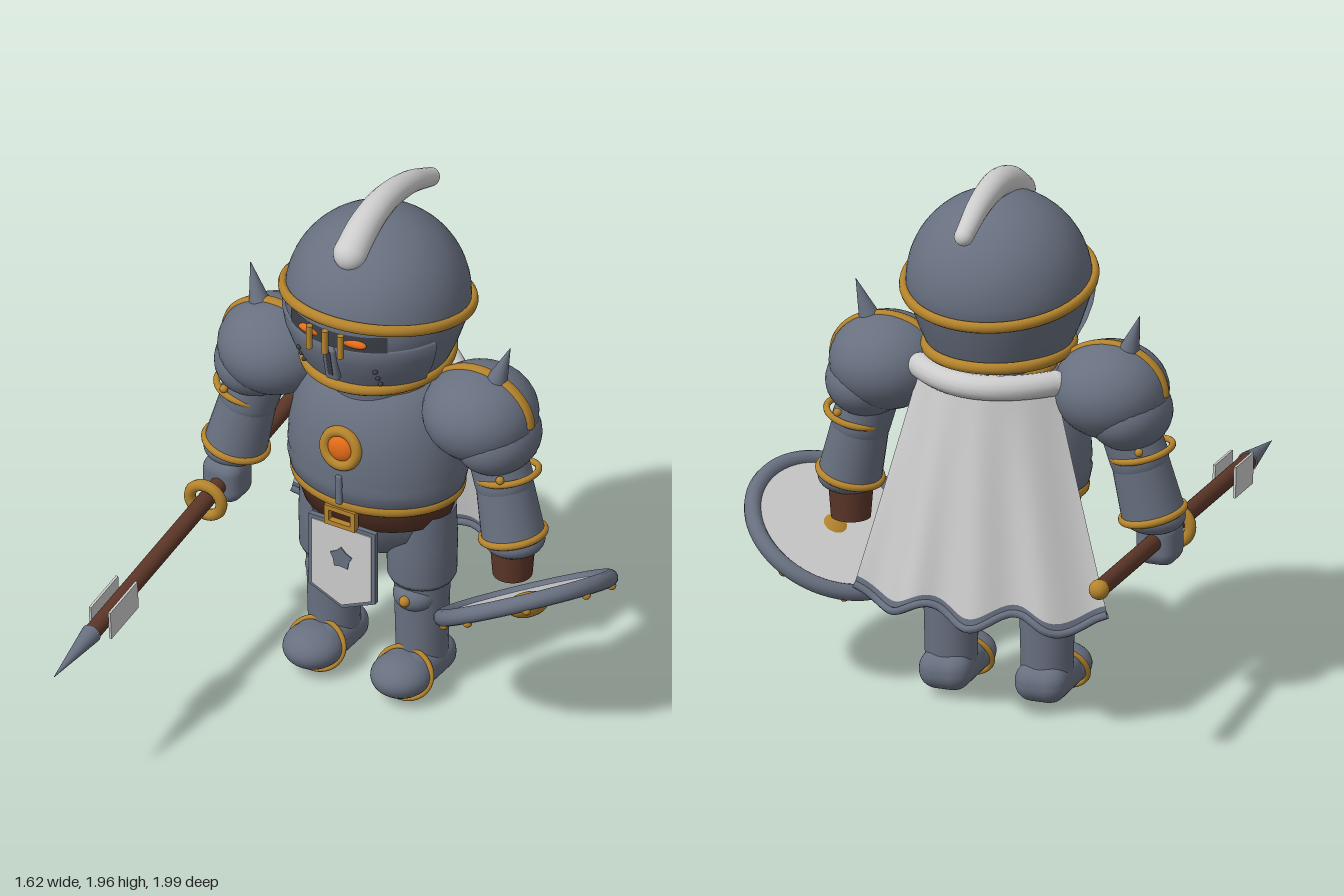
import * as THREE from 'three';
import { RoundedBoxGeometry } from 'three/addons/geometries/RoundedBoxGeometry.js';

const V = (x, y, z) => new THREE.Vector3(x, y, z);
const mat = (name, color, side = THREE.FrontSide) => {
  const m = new THREE.MeshStandardMaterial({ color, side });
  m.name = name;
  return m;
};

export function createModel() {
  const steel = mat('steel', 0x687080, THREE.DoubleSide);
  const gold = mat('gold', 0xb5842c);
  const cloth = mat('pale cloth', 0xcccccc, THREE.DoubleSide);
  const leather = mat('brown leather', 0x5c3628);
  const glow = mat('orange glow', 0xe46c18);
  const dark = mat('dark slot', 0x3c4048, THREE.DoubleSide);

  const root = new THREE.Group();
  root.name = 'knight';
  const body = new THREE.Group();
  body.name = 'body';
  body.position.set(-0.135, 0, -0.355);
  root.add(body);

  // helpers
  const add = (parent, name, geo, m, p = [0, 0, 0], r = [0, 0, 0], s = [1, 1, 1]) => {
    const mesh = new THREE.Mesh(geo, m);
    mesh.name = name;
    mesh.position.set(...p);
    mesh.rotation.set(...r);
    mesh.scale.set(...s);
    parent.add(mesh);
    return mesh;
  };
  const ball = (parent, name, m, p, s) =>
    add(parent, name, new THREE.SphereGeometry(1, 32, 20), m, p, [0, 0, 0], Array.isArray(s) ? s : [s, s, s]);
  const rod = (parent, name, m, a, b, ra, rb) => {
    const d = b.clone().sub(a);
    const mesh = add(parent, name, new THREE.CylinderGeometry(rb, ra, d.length(), 28), m, a.clone().lerp(b, 0.5).toArray());
    mesh.quaternion.setFromUnitVectors(V(0, 1, 0), d.normalize());
    return mesh;
  };
  const ring = (parent, name, m, p, R, tube, axis) => {
    const mesh = add(parent, name, new THREE.TorusGeometry(R, tube, 10, 48), m, p);
    mesh.quaternion.setFromUnitVectors(V(0, 0, 1), axis.clone().normalize());
    return mesh;
  };
  const hoop = (name, m, y, R, tube, depth, tilt = 0) =>
    add(body, name, new THREE.TorusGeometry(R, tube, 10, 64), m, [0, y, 0], [Math.PI / 2 + tilt, 0, 0], [1, depth, 1.3]);
  const lathe = (name, m, pts, depth = 1, half = Math.PI) =>
    add(body, name, new THREE.LatheGeometry(pts.map(p => new THREE.Vector2(...p)), 56, -half, half * 2), m, [0, 0, 0], [0, 0, 0], [1, 1, depth]);
  const starShape = (R, r) => new THREE.Shape(Array.from({ length: 10 }, (_, i) => {
    const a = Math.PI / 2 + i * Math.PI / 5, q = i % 2 ? r : R;
    return new THREE.Vector2(Math.cos(a) * q, Math.sin(a) * q);
  }));
  const slab = (shape, depth) => new THREE.ExtrudeGeometry(shape, { depth, bevelEnabled: false });

  // helmet: shell, eye slot, visor and trims
  const dome = [[0.25, 1.32], [0.285, 1.4], [0.312, 1.48]];
  for (let i = 0; i <= 16; i++) {
    const a = -0.1 + (Math.PI / 2 + 0.1) * i / 16;
    dome.push([Math.max(0, Math.cos(a) * 0.326), 1.555 + Math.sin(a) * 0.326]);
  }
  lathe('helmet', steel, dome);
  lathe('eyeSlot', dark, [[0.326, 1.512], [0.3285, 1.555], [0.328, 1.578]], 1, 0.64);
  lathe('visor', steel, [[0.27, 1.335], [0.305, 1.4], [0.326, 1.46], [0.335, 1.512], [0.32, 1.514]], 1, 1.2);
  add(body, 'noseRidge', new RoundedBoxGeometry(0.055, 0.15, 0.03, 3, 0.012), steel, [0, 1.44, 0.315], [0.2, 0, 0]);
  add(body, 'noseGroove', new RoundedBoxGeometry(0.02, 0.11, 0.008, 2, 0.003), dark, [0, 1.445, 0.33], [0.2, 0, 0]);
  hoop('browBand', gold, 1.558, 0.333, 0.016, 1.02, -0.19);
  hoop('chinBand', gold, 1.322, 0.256, 0.016, 1.08);
  for (const s of [-1, 1]) {
    ball(body, 'eye', glow, [s * 0.085, 1.545, 0.309], [0.052, 0.018, 0.018]);
    for (const [i, y] of [1.43, 1.395, 1.36].entries())
      ball(body, 'breathHole', dark, [s * 0.155, y, 0.278 - i * 0.018], 0.009);
  }
  for (const x of [-0.063, 0, 0.063])
    rod(body, 'visorBar', gold, V(x, 1.505, 0.36), V(x, 1.597, 0.36), 0.012, 0.012);

  // plume: tapered tube with rounded ends
  const plumePath = new THREE.CatmullRomCurve3([V(0, 1.82, 0.185), V(0, 1.88, 0.1), V(0, 1.915, -0.03), V(0, 1.895, -0.2), V(0, 1.835, -0.35)]);
  const plumeR = t => 0.062 - 0.028 * t;
  const plume = new THREE.TubeGeometry(plumePath, 40, 1, 20);
  const pp = plume.attributes.position, v = V(0, 0, 0);
  for (let i = 0; i < pp.count; i++) {
    const t = Math.floor(i / 21) / 40, c = plumePath.getPointAt(t);
    v.fromBufferAttribute(pp, i).sub(c).multiplyScalar(plumeR(t)).add(c);
    pp.setXYZ(i, v.x, v.y, v.z);
  }
  plume.computeVertexNormals();
  add(body, 'plume', plume, cloth);
  for (const t of [0, 1]) ball(body, 'plumeEnd', cloth, plumePath.getPointAt(t).toArray(), plumeR(t));

  // torso, neck and belt
  lathe('torso', steel, [[0.28, 0.79], [0.322, 0.83], [0.333, 0.88], [0.327, 0.9], [0.332, 0.92], [0.327, 1.0], [0.312, 1.08], [0.285, 1.15], [0.245, 1.21], [0.19, 1.255], [0, 1.27]], 0.8);
  lathe('neck', steel, [[0.19, 1.2], [0.18, 1.3], [0.25, 1.33]]);
  hoop('neckBand', gold, 1.25, 0.19, 0.014, 0.85);
  add(body, 'chestRidge', new RoundedBoxGeometry(0.025, 0.12, 0.02, 2, 0.008), steel, [0, 0.88, 0.264]);
  ring(body, 'medallionRing', gold, [0, 1.045, 0.252], 0.064, 0.02, V(0, 0.15, 1));
  ball(body, 'medallionGem', glow, [0, 1.045, 0.25], [0.052, 0.052, 0.028]);
  lathe('belt', leather, [[0, 0.7], [0.275, 0.705], [0.305, 0.8]], 0.8);
  hoop('beltBand', gold, 0.81, 0.306, 0.017, 0.8);
  lathe('hips', steel, [[0, 0.52], [0.14, 0.54], [0.25, 0.64], [0.27, 0.72]], 0.75);
  for (const s of [-1, 1]) {
    add(body, 'buckleSide', new THREE.BoxGeometry(0.018, 0.075, 0.025), gold, [s * 0.053, 0.757, 0.25]);
    add(body, 'buckleBar', new THREE.BoxGeometry(0.124, 0.018, 0.025), gold, [0, 0.757 + s * 0.03, 0.25]);
  }

  // tabard: steel border, pale panel and star
  const panel = k => new THREE.Shape([[-0.135 + k, 0.725 - k], [-0.135 + k, 0.435 + k * 0.6], [0, 0.375 + k], [0.135 - k, 0.435 + k * 0.6], [0.135 - k, 0.725 - k]].map(p => new THREE.Vector2(...p)));
  add(body, 'tabardBorder', slab(panel(0), 0.02), steel, [0, 0, 0.225]);
  add(body, 'tabardPanel', slab(panel(0.014), 0.006), cloth, [0, 0, 0.243]);
  add(body, 'tabardStar', slab(starShape(0.046, 0.033), 0.006), steel, [0, 0.585, 0.247]);

  for (const s of [-1, 1]) {
    // legs and boots
    const x = s * 0.178;
    lathe('thigh', steel, [[0, 0.44], [0.112, 0.44], [0.122, 0.46], [0.125, 0.6], [0.12, 0.74]]).position.x = x;
    rod(body, 'shin', steel, V(x, 0.12, 0), V(x, 0.46, 0), 0.092, 0.1);
    ball(body, 'kneePlate', steel, [x, 0.385, 0.045], [0.08, 0.06, 0.075]);
    ball(body, 'kneeStud', gold, [x, 0.39, 0.118], 0.02);
    ball(body, 'bootToe', steel, [x, 0.1, 0.14], [0.108, 0.074, 0.11]);
    add(body, 'bootHeel', new RoundedBoxGeometry(0.19, 0.14, 0.3, 5, 0.065), steel, [x, 0.098, 0.03]);
    ring(body, 'bootStrap', gold, [x, 0.095, 0.118], 0.1, 0.01, V(0, 0.45, 1)).scale.set(1.06, 0.9, 1);

    // shoulder armour with band, spike and studs
    ball(body, 'pauldron', steel, [s * 0.415, 1.2, 0], [0.205, 0.172, 0.205]);
    ball(body, 'lowerPauldron', steel, [s * 0.485, 1.125, 0], [0.148, 0.132, 0.176]);
    add(body, 'pauldronBand', new THREE.TorusGeometry(0.2, 0.016, 8, 40, 2.75), gold, [s * 0.415, 1.2, 0], [0, s < 0 ? Math.PI : 0, 0], [1, 0.84, 1.4]);
    rod(body, 'spike', steel, V(s * 0.482, 1.35, 0), V(s * 0.527, 1.49, -0.015), 0.038, 0.001);
    for (const z of [-0.11, 0, 0.11]) ball(body, 'pauldronStud', gold, [s * 0.56, 1.01 + Math.abs(z) * 0.1, z], 0.015);

    // arms
    const elbow = V(s * 0.515, 0.96, 0.01), wrist = V(s * 0.565, 0.74, 0.025), axis = wrist.clone().sub(elbow);
    rod(body, 'upperArm', steel, V(s * 0.45, 1.15, 0), elbow, 0.1, 0.105);
    ball(body, 'elbow', steel, elbow.toArray(), 0.105);
    rod(body, 'forearm', steel, elbow, wrist, 0.1, 0.113);
    ball(body, 'cuff', steel, wrist.toArray(), [0.111, 0.06, 0.111]);
    ring(body, 'elbowBand', gold, [s * 0.53, 0.985, 0.005], 0.108, 0.012, axis);
    ring(body, 'cuffBand', gold, [s * 0.562, 0.752, 0.024], 0.111, 0.014, axis);
  }
  // hands
  rod(body, 'leftGlove', leather, V(0.56, 0.72, 0.025), V(0.56, 0.59, 0.025), 0.08, 0.07);
  add(body, 'rightHand', new RoundedBoxGeometry(0.15, 0.17, 0.15, 4, 0.05), steel, [-0.57, 0.64, 0.07]);

  // cape: flaring rippled sheet, steel hem and rolled collar
  const capePoint = (u, w) => V(
    u * (0.25 + 0.215 * w) - 0.02 * w,
    1.24 - 0.82 * w - 0.03 * w * w * Math.cos(u * 9),
    -0.245 - 0.12 * w + 0.13 * u * u - 0.022 * w * Math.cos(u * 11 + 0.6));
  const cape = (name, m, w0, w1, rows) => {
    const g = new THREE.PlaneGeometry(2, 1, 48, rows), p = g.attributes.position;
    for (let i = 0; i < p.count; i++) {
      const q = capePoint(-p.getX(i), w0 + (w1 - w0) * (0.5 - p.getY(i)));
      p.setXYZ(i, q.x, q.y, q.z);
    }
    g.computeVertexNormals();
    add(body, name, g, m);
  };
  cape('cape', cloth, 0, 0.96, 20);
  cape('capeHem', steel, 0.96, 1, 2);
  const along = w => new THREE.CatmullRomCurve3(Array.from({ length: 25 }, (_, i) => capePoint(i / 12 - 1, w)));
  add(body, 'hemRoll', new THREE.TubeGeometry(along(1), 60, 0.014, 8), steel);
  add(body, 'capeCollar', new THREE.TubeGeometry(along(0), 40, 0.045, 14), cloth);
  for (const u of [-1, 1]) ball(body, 'collarEnd', cloth, capePoint(u, 0).toArray(), 0.045);

  // spear, built along its own z axis
  const spear = new THREE.Group();
  spear.name = 'spear';
  spear.position.set(-0.735, 0.695, -0.965);
  spear.quaternion.setFromUnitVectors(V(0, 0, 1), V(0.095, -0.155, 1.955).normalize());
  root.add(spear);
  rod(spear, 'shaft', leather, V(0, 0, 0), V(0, 0, 1.7), 0.031, 0.031);
  rod(spear, 'spearTip', steel, V(0, 0, 1.69), V(0, 0, 1.965), 0.036, 0.001);
  ball(spear, 'buttCap', gold, [0, 0, 0], 0.036);
  ring(spear, 'handGuard', gold, [0, 0, 0.848], 0.062, 0.021, V(0, 0, 1));
  for (const s of [-1, 1])
    add(spear, 'spearPlate', new THREE.BoxGeometry(0.009, 0.112, 0.2), cloth, [s * 0.038, 0, 1.525]);

  // shield, face along its own z axis
  const shield = new THREE.Group();
  shield.name = 'shield';
  shield.position.set(0.5, 0.53, -0.295);
  shield.lookAt(0.95, -0.31, 0.005);
  root.add(shield);
  add(shield, 'shieldRim', new THREE.TorusGeometry(0.3, 0.03, 12, 64), steel);
  add(shield, 'shieldFace', new THREE.CylinderGeometry(0.29, 0.29, 0.024, 48), cloth, [0, 0, 0], [Math.PI / 2, 0, 0]);
  add(shield, 'shieldStar', slab(starShape(0.225, 0.1), 0.02), gold, [0, 0, 0.01]);
  ball(shield, 'shieldBoss', gold, [0, 0, 0.025], [0.075, 0.075, 0.045]);
  for (let i = 0; i < 8; i++) {
    const a = (i + 0.5) * Math.PI / 4;
    ball(shield, 'rimStud', gold, [Math.cos(a) * 0.3, Math.sin(a) * 0.3, 0.028], 0.016);
  }
  return root;
}
